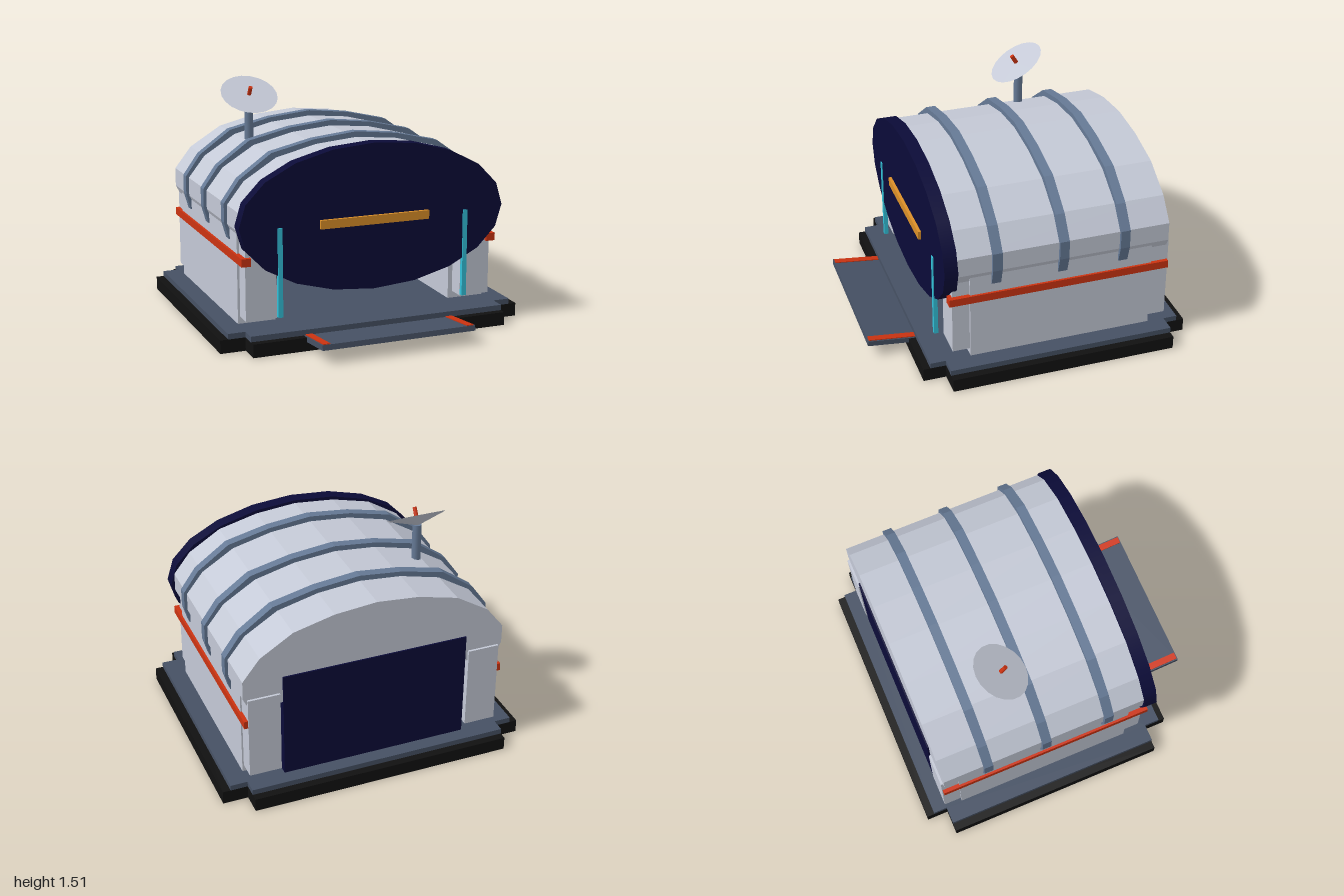
import * as THREE from 'three';

const mat = (name, color, extra = {}) => {
  const m = new THREE.MeshStandardMaterial({ color, ...extra });
  m.name = name;
  return m;
};

export function createModel() {
  const root = new THREE.Group();
  root.name = 'hangar';
  const M = {
    shell: mat('pale grey', 0xc4c9d6),
    rib: mat('steel blue', 0x667a96),
    deck: mat('slate', 0x465164),
    black: mat('black', 0x111111),
    navy: mat('navy', 0x0b0b38),
    red: mat('red', 0xcc3311),
    cyan: mat('cyan', 0x33c2da),
    amber: mat('amber', 0xdc9028),
  };

  const add = (name, geo, m, parent = root) => {
    const mesh = new THREE.Mesh(geo, m);
    mesh.name = name;
    parent.add(mesh);
    return mesh;
  };
  // box given by its two extreme corners
  const box = (name, m, x0, x1, y0, y1, z0, z1) => {
    const mesh = add(name, new THREE.BoxGeometry(x1 - x0, y1 - y0, z1 - z0), m);
    mesh.position.set((x0 + x1) / 2, (y0 + y1) / 2, (z0 + z1) / 2);
    return mesh;
  };
  // box repeated on both sides
  const pair = (name, m, x0, x1, ...rest) => {
    box(name + 'Left', m, x0, x1, ...rest);
    box(name + 'Right', m, -x1, -x0, ...rest);
  };
  const shapeOf = (pts) => new THREE.Shape(pts.map(([x, y]) => new THREE.Vector2(x, y)));
  const slab = (pts, z0, z1) =>
    new THREE.ExtrudeGeometry(shapeOf(pts), { depth: z1 - z0, bevelEnabled: false }).translate(0, 0, z0);

  // cross-shaped plates: wide in the middle, narrower at front and back
  const plate = (name, m, wide, back, front, y0, y1) => {
    const n = 0.84, zb = -0.86, zf = 0.59;
    const half = [[n, back], [n, zb], [wide, zb], [wide, zf], [n, zf], [n, front]];
    const pts = [...half, ...half.map(([x, z]) => [-x, z]).reverse()].map(([x, z]) => [x, -z]);
    const geo = slab(pts, 0, y1 - y0).rotateX(-Math.PI / 2).translate(0, y0, 0);
    add(name, geo, m);
  };
  plate('foundation', M.black, 1, -1, 0.735, 0, 0.085);
  plate('deck', M.deck, 0.95, -0.95, 0.69, 0.085, 0.12);

  // entry ramp with coloured edges
  const ramp = new THREE.Group();
  ramp.name = 'ramp';
  ramp.position.set(0, 0.085, 0.83);
  ramp.rotation.x = -0.11;
  root.add(ramp);
  add('rampPlate', new THREE.BoxGeometry(1, 0.034, 0.335), M.deck, ramp);
  for (const s of [-1, 1])
    add('rampEdge', new THREE.BoxGeometry(0.045, 0.008, 0.325), M.red, ramp).position.set(s * 0.47, 0.018, 0);

  // side walls, corner pillars and rails
  pair('sideWall', M.shell, 0.59, 0.835, 0.12, 0.69, -0.75, 0.43);
  pair('frontPillar', M.shell, 0.62, 0.82, 0.165, 0.68, 0.42, 0.54);
  pair('rearPillar', M.shell, 0.62, 0.825, 0.165, 0.71, -0.865, -0.74);
  pair('sideRail', M.red, 0.79, 0.85, 0.515, 0.565, -0.86, 0.565);

  // faceted vault and its ribs
  const mirror = (half) => [...half, ...half.slice(1).reverse().map(([x, y]) => [-x, y])];
  const arc = (half) => [...half.slice(1).reverse(), ...half.map(([x, y]) => [-x, y])];
  const vault = [[0, 1.2], [0.27, 1.175], [0.53, 1.11], [0.74, 0.98], [0.85, 0.84], [0.85, 0.72], [0.81, 0.64]];
  const rib = [[0, 1.235], [0.28, 1.205], [0.56, 1.14], [0.77, 0.99], [0.87, 0.85], [0.87, 0.73], [0.84, 0.625]];
  add('vaultRoof', slab(mirror(vault), -0.85, 0.52), M.shell);
  const ribPts = [...arc(rib), ...arc(vault.map(([x, y]) => [x * 0.98, y - 0.015])).reverse()];
  for (const z of [0.265, -0.16, -0.555]) add('roofRib', slab(ribPts, z - 0.03, z + 0.03), M.rib);

  // oval front fascia with light bars
  const fascia = add('frontFascia', new THREE.CylinderGeometry(1, 1, 0.085, 20).rotateX(Math.PI / 2), M.navy);
  fascia.geometry.scale(0.875, 0.46, 1);
  fascia.material = M.navy;
  fascia.position.set(0, 0.76, 0.555);
  box('signBar', M.amber, -0.36, 0.36, 0.715, 0.77, 0.59, 0.617);
  pair('frontLightStrip', M.cyan, 0.602, 0.632, 0.185, 0.745, 0.577, 0.604);

  // rear door
  box('rearDoor', M.navy, -0.6, 0.6, 0.12, 0.82, -0.86, -0.76);

  // interior consoles and light panel
  pair('console', M.black, 0.27, 0.525, 0.12, 0.6, -0.6, -0.4);
  box('consoleScreenRight', M.red, -0.46, -0.335, 0.215, 0.5, -0.4, -0.392);
  box('consoleScreenLeft', M.shell, 0.335, 0.455, 0.215, 0.5, -0.4, -0.392);
  box('interiorLight', M.cyan, -0.18, 0.18, 0.25, 0.31, -0.4, -0.37);

  // antenna
  const mast = add('antennaMast', new THREE.CylinderGeometry(0.03, 0.03, 0.26, 8), M.rib);
  mast.position.set(-0.495, 1.23, -0.325);
  const dish = new THREE.Group();
  dish.name = 'antennaDish';
  dish.position.set(-0.495, 1.408, -0.31);
  dish.rotation.x = 0.547;
  root.add(dish);
  add('dishBowl', new THREE.CylinderGeometry(0.187, 0.01, 0.055, 20).translate(0, -0.0275, 0), M.shell, dish);
  add('dishFeed', new THREE.CylinderGeometry(0.014, 0.014, 0.06, 8).translate(0, 0.028, 0), M.red, dish);

  return root;
}
